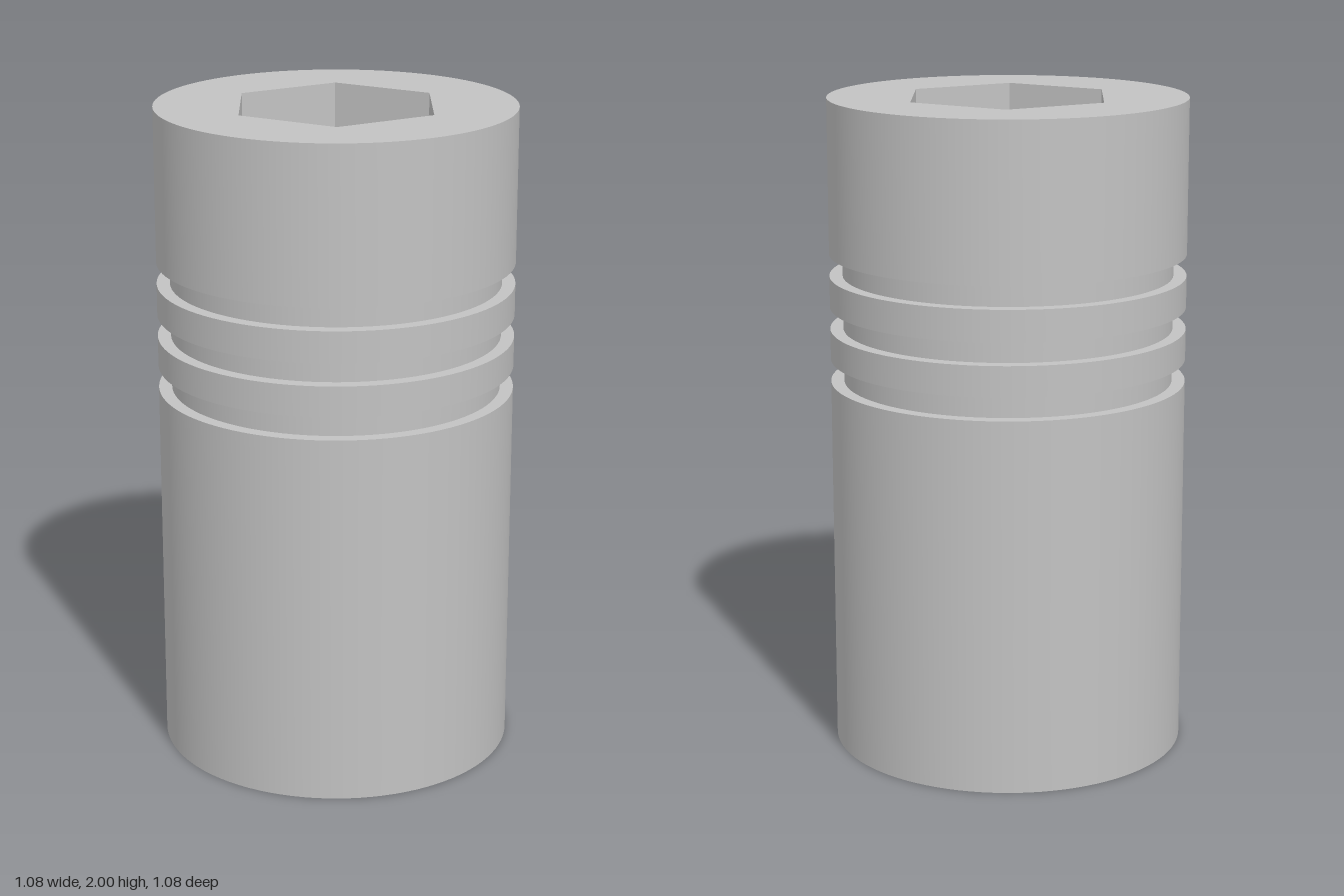
import * as THREE from 'three';
import { mergeGeometries } from 'three/addons/utils/BufferGeometryUtils.js';

const SEGMENTS = 96;
const R = 0.54, GROOVE_R = 0.5, BORE_R = 0.175, HEX_R = 0.326;
const TOP = 2, SOCKET_FLOOR = 1.5, BORE_BOTTOM = 0.31;

// Revolves each profile edge on its own, so corners stay sharp and walls smooth
function revolve(profile) {
  const bands = [];
  for (let i = 0; i < profile.length - 1; i++) {
    const pair = [profile[i], profile[i + 1]].map(([r, y]) => new THREE.Vector2(r, y));
    bands.push(new THREE.LatheGeometry(pair, SEGMENTS));
  }
  return mergeGeometries(bands);
}

function hexPoints() {
  return Array.from({ length: 6 }, (_, i) => {
    const a = (i * Math.PI) / 3;
    return new THREE.Vector2(HEX_R * Math.cos(a), HEX_R * Math.sin(a));
  });
}

function circlePoints(r) {
  return new THREE.Path().absarc(0, 0, r, 0, Math.PI * 2).getPoints(SEGMENTS).slice(0, -1);
}

// Flat horizontal face with a hole, looking up
function plate(outline, hole, y) {
  const shape = new THREE.Shape(outline);
  shape.holes.push(new THREE.Path(hole));
  return new THREE.ShapeGeometry(shape).rotateX(-Math.PI / 2).translate(0, y, 0);
}

export function createModel() {
  const group = new THREE.Group();
  const steel = new THREE.MeshStandardMaterial({ color: 0xc2c2c2 });
  steel.name = 'steel';
  const add = (name, geometry) => {
    const mesh = new THREE.Mesh(geometry, steel);
    mesh.name = name;
    group.add(mesh);
  };

  // Outer wall with three ring grooves
  const outer = [[R, 0]];
  for (const [low, high] of [[1.138, 1.207], [1.3, 1.367], [1.463, 1.53]]) {
    outer.push([R, low], [GROOVE_R, low], [GROOVE_R, high], [R, high]);
  }
  outer.push([R, TOP]);
  add('groovedBody', revolve(outer));

  // Stepped counterbore in the underside, and the through bore
  add('counterbore', revolve([
    [BORE_R, BORE_BOTTOM], [0.337, BORE_BOTTOM], [0.337, 0.134],
    [0.42, 0.134], [0.42, 0], [R, 0],
  ]));
  add('throughBore', revolve([[BORE_R, SOCKET_FLOOR], [BORE_R, BORE_BOTTOM]]));

  // Hexagonal socket in the top
  add('topFace', plate(circlePoints(R), hexPoints(), TOP));
  add('socketFloor', plate(hexPoints(), circlePoints(BORE_R), SOCKET_FLOOR));
  const walls = new THREE.LatheGeometry(
    [new THREE.Vector2(HEX_R, TOP), new THREE.Vector2(HEX_R, SOCKET_FLOOR)], 6, Math.PI / 2
  ).toNonIndexed();
  walls.computeVertexNormals();
  add('socketWalls', walls);

  return group;
}
